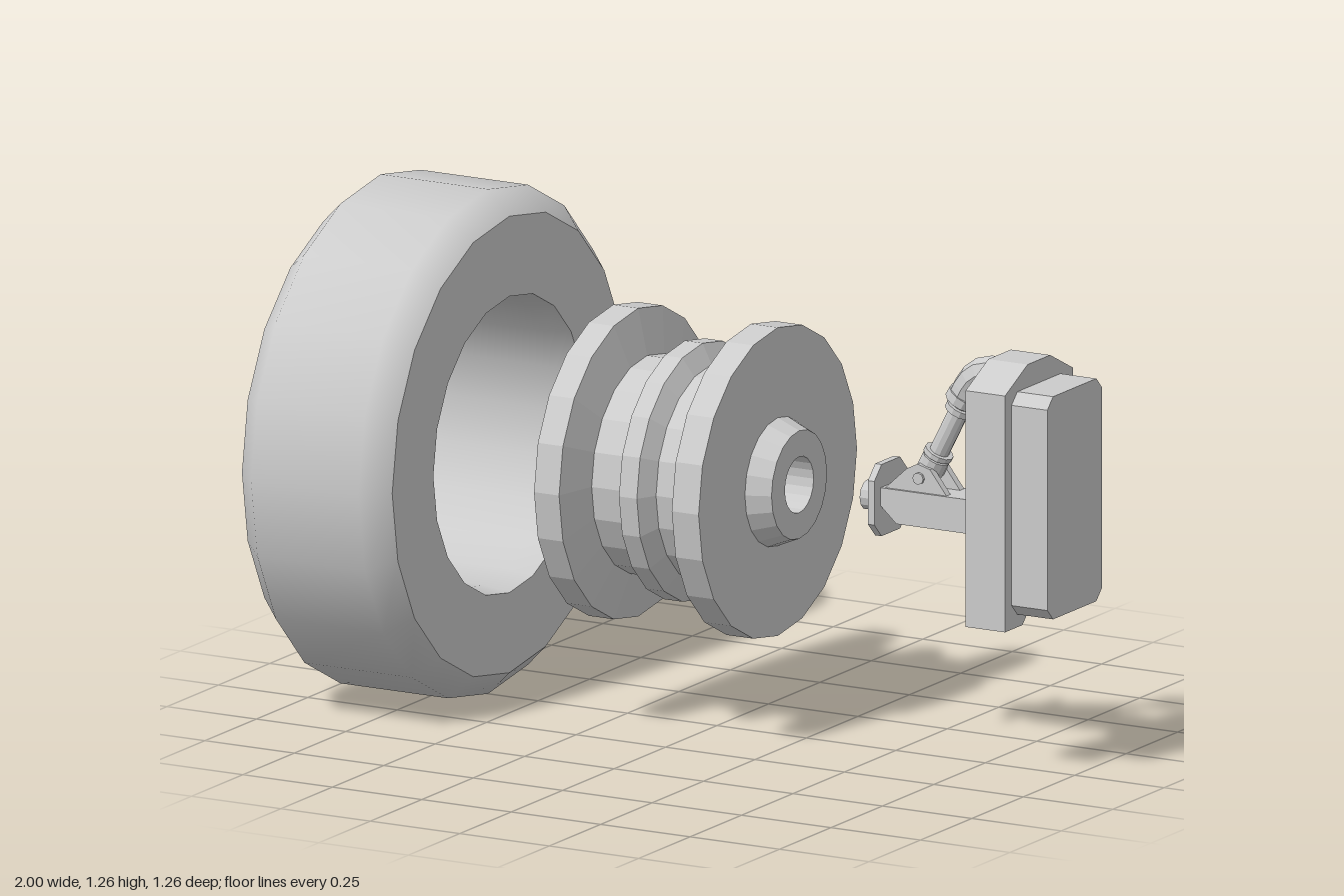
import * as THREE from 'three';

const AXIS_Y = 0.63;
const smooth = new THREE.MeshStandardMaterial({ color: 0xcccccc });
const flat = new THREE.MeshStandardMaterial({ color: 0xcccccc, flatShading: true });
const v2 = (pts) => pts.map(([x, y]) => new THREE.Vector2(x, y));

function add(parent, name, geometry, material = flat) {
  const mesh = new THREE.Mesh(geometry, material);
  mesh.name = name;
  parent.add(mesh);
  return mesh;
}

// Surface of revolution about the wheel axis; profile points are [x, radius]
function turned(profile, sides = 20) {
  const geo = new THREE.LatheGeometry(v2(profile.map(([x, r]) => [r, x])), sides);
  return geo.rotateZ(-Math.PI / 2).translate(0, AXIS_Y, 0);
}

// Outline in [z, y] extruded along x from x0 to x1
function slabX(outline, x0, x1) {
  const shape = new THREE.Shape(v2(outline.map(([z, y]) => [-z, y])));
  return new THREE.ExtrudeGeometry(shape, { depth: x1 - x0, bevelEnabled: false })
    .rotateY(Math.PI / 2).translate(x0, 0, 0);
}

// Outline in [x, y] extruded along z
function slabZ(outline, z0, z1) {
  return new THREE.ExtrudeGeometry(new THREE.Shape(v2(outline)), { depth: z1 - z0, bevelEnabled: false })
    .translate(0, 0, z0);
}

// Rectangle with cut corners, as [z, y] points
function cutRect(w, y0, y1, c) {
  return [[-w + c, y0], [w - c, y0], [w, y0 + c], [w, y1 - c],
    [w - c, y1], [-w + c, y1], [-w, y1 - c], [-w, y0 + c]];
}

// Cylinder between two points in the z = 0 plane
function rod([x0, y0], [x1, y1], r, sides = 12) {
  const dx = x1 - x0, dy = y1 - y0;
  return new THREE.CylinderGeometry(r, r, Math.hypot(dx, dy), sides)
    .rotateZ(-Math.atan2(dx, dy)).translate((x0 + x1) / 2, (y0 + y1) / 2, 0);
}

function makeTyre() {
  const tyre = new THREE.Group();
  tyre.name = 'tyre';
  add(tyre, 'tread', turned([[-1, 0.57], [-0.94, 0.63], [-0.64, 0.63], [-0.58, 0.57]]), smooth);
  add(tyre, 'innerSidewall', turned([[-0.58, 0.57], [-0.58, 0.37]]), smooth);
  add(tyre, 'outerSidewall', turned([[-1, 0.37], [-1, 0.57]]), smooth);
  add(tyre, 'bore', turned([[-0.58, 0.37], [-0.65, 0.36], [-0.93, 0.36], [-1, 0.37]]), smooth);
  return tyre;
}

function makeRim() {
  const rim = new THREE.Group();
  rim.name = 'rim';
  // Flanges, drop channel with centre ridge, and a shallow recess on the outer face
  add(rim, 'rimBody', turned([
    [-0.24, 0], [-0.24, 0.12], [-0.29, 0.12], [-0.29, 0.385], [-0.22, 0.385], [-0.195, 0.27],
    [-0.115, 0.27], [-0.09, 0.32], [-0.04, 0.32], [-0.015, 0.27], [0.07, 0.27],
    [0.095, 0.385], [0.17, 0.385], [0.17, 0.155],
  ]));
  // Tapered hub with a blind socket for the axle
  add(rim, 'hub', turned([[0.17, 0.16], [0.23, 0.135], [0.23, 0.07], [0.15, 0.07], [0.15, 0]]));
  return rim;
}

function makeSuspension() {
  const unit = new THREE.Group();
  unit.name = 'suspension';

  // Axle stub and mounting plate
  add(unit, 'axle', rod([0.42, AXIS_Y], [0.49, AXIS_Y], 0.037));
  add(unit, 'axlePlate', slabX(cutRect(0.08, 0.543, 0.722, 0.035), 0.468, 0.486));

  // Swing arm running into the housing
  add(unit, 'swingArm', slabZ([
    [0.486, 0.62], [0.53, 0.58], [0.92, 0.58], [0.92, 0.665], [0.486, 0.665],
  ], -0.05, 0.05));

  // Paired cheeks holding the lower end of the damper
  for (const s of [-1, 1]) {
    add(unit, 'damperCheek', slabZ([
      [0.49, 0.66], [0.67, 0.66], [0.62, 0.725], [0.585, 0.735], [0.555, 0.72],
    ], s * 0.033 - 0.01, s * 0.033 + 0.01));
  }
  add(unit, 'damperPin', new THREE.CylinderGeometry(0.015, 0.015, 0.1, 8)
    .rotateX(Math.PI / 2).translate(0.59, 0.7, 0));

  // Damper with collars
  const foot = [0.585, 0.69], head = [0.705, 0.925];
  const at = (t) => foot.map((a, i) => a + (head[i] - a) * t);
  add(unit, 'damperRod', rod(foot, head, 0.025));
  for (const [a, b, r] of [[0.1, 0.24, 0.035], [0.26, 0.31, 0.037], [0.76, 0.82, 0.037], [0.84, 0.94, 0.034]]) {
    add(unit, 'damperCollar', rod(at(a), at(b), r));
  }

  // Elbow joining the damper to the top of the housing
  const bend = new THREE.CatmullRomCurve3([
    [0.69, 0.905], [0.715, 0.95], [0.755, 0.977], [0.83, 0.977],
  ].map(([x, y]) => new THREE.Vector3(x, y, 0)));
  add(unit, 'elbow', new THREE.TubeGeometry(bend, 6, 0.04, 8));
  add(unit, 'elbowEnd', rod([0.683, 0.894], [0.695, 0.914], 0.043));

  // Arched housing with a slot between its two rails
  add(unit, 'housing', slabX([
    [0.06, 0.4], [0.08, 0.38], [0.165, 0.38], [0.165, 0.97], [0.055, 1.025],
    [-0.055, 1.025], [-0.165, 0.97], [-0.165, 0.38], [-0.08, 0.38], [-0.06, 0.4],
    [-0.06, 0.93], [0.06, 0.93],
  ], 0.79, 0.9));

  // Cover box with cut corners
  add(unit, 'cover', slabX(cutRect(0.133, 0.412, 0.968, 0.028), 0.885, 1));
  return unit;
}

export function createModel() {
  const model = new THREE.Group();
  model.name = 'wheelAssembly';
  model.add(makeTyre(), makeRim(), makeSuspension());
  return model;
}
